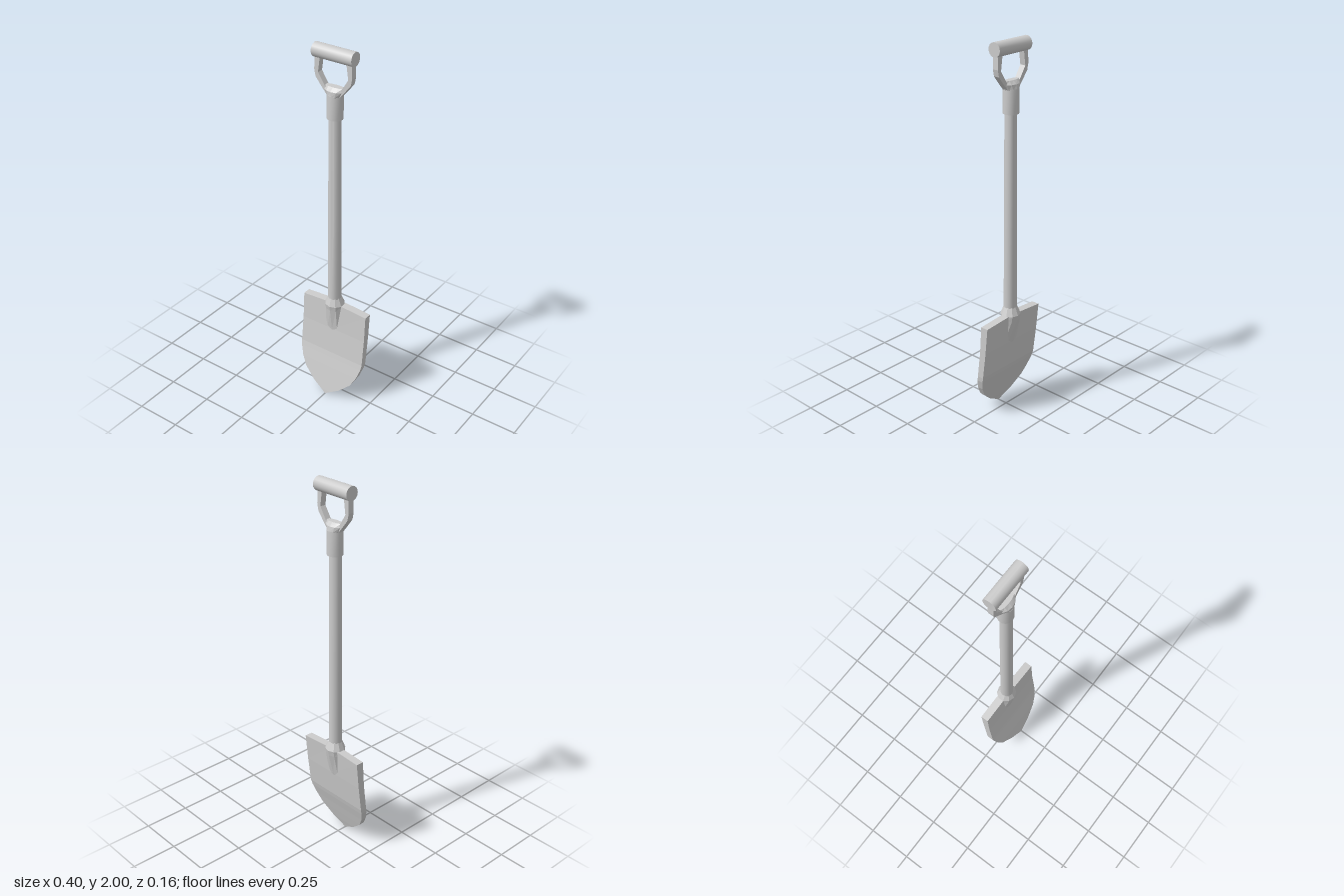
import * as THREE from 'three';
import { toCreasedNormals } from 'three/addons/utils/BufferGeometryUtils.js';

const CX = -0.007, CZ = -0.024; // axis of the handle
const grey = new THREE.MeshStandardMaterial({ color: 0xcccccc });
const flatGrey = new THREE.MeshStandardMaterial({ color: 0xcccccc, flatShading: true });

function addPart(group, name, geometry, material = grey) {
  const mesh = new THREE.Mesh(geometry, material);
  mesh.name = name;
  group.add(mesh);
  return mesh;
}

// Elliptical loft through rings listed top to bottom: [y, radiusX, radiusZ, centreZ]
function loft(rings, sides) {
  const rows = rings.length - 1;
  const g = new THREE.CylinderGeometry(1, 1, 1, sides, rows);
  const p = g.attributes.position;
  for (let i = 0; i < p.count; i++) {
    const [y, rx, rz, cz = CZ] = rings[Math.round((0.5 - p.getY(i)) * rows)];
    p.setXYZ(i, CX + p.getX(i) * rx, y, cz + p.getZ(i) * rz);
  }
  return toCreasedNormals(g, 0.6);
}

// Blade: a box bent and narrowed row by row, [y, halfWidth, frontZ, backZ]
function bladeGeometry() {
  const rows = [
    [0.55, 0.2, -0.01, -0.053],
    [0.4, 0.2, 0.0, -0.038],
    [0.25, 0.2, 0.018, -0.019],
    [0.22, 0.196, 0.025, -0.011],
    [0.165, 0.178, 0.039, 0.006],
    [0.11, 0.148, 0.052, 0.022],
    [0.05, 0.083, 0.066, 0.04],
    [0.02, 0.033, 0.073, 0.05],
    [0.0, 0.003, 0.077, 0.056],
  ];
  const n = rows.length - 1;
  const g = new THREE.BoxGeometry(1, 1, 1, 2, n, 1);
  const p = g.attributes.position;
  for (let i = 0; i < p.count; i++) {
    const row = Math.round((0.5 - p.getY(i)) * n);
    const [y, w, front, back] = rows[row];
    const x = p.getX(i) * 2;
    // the top edge rises slightly to the middle
    const peak = row === 0 ? 0.014 * (1 - Math.abs(x)) : 0;
    p.setXYZ(i, x * w, y + peak, p.getZ(i) > 0 ? front : back);
  }
  return g;
}

// Yoke: an open D outline with a hole, mirrored about the handle axis
function yokeGeometry() {
  const ring = (half) => [
    ...half.map(([x, y]) => new THREE.Vector2(x, y)),
    ...half.slice().reverse().map(([x, y]) => new THREE.Vector2(-x, y)),
  ];
  const shape = new THREE.Shape(ring([
    [0.038, 1.76], [0.068, 1.795], [0.1, 1.835], [0.108, 1.87], [0.104, 1.955],
  ]));
  shape.holes.push(new THREE.Path(ring([
    [0.045, 1.797], [0.086, 1.86], [0.074, 1.945],
  ])));
  const g = new THREE.ExtrudeGeometry(shape, { depth: 0.032, bevelEnabled: false });
  return g.translate(CX, 0, CZ - 0.016);
}

export function createModel() {
  const shovel = new THREE.Group();
  shovel.name = 'shovel';

  addPart(shovel, 'blade', bladeGeometry(), flatGrey);

  // Socket swells below the shaft, then flattens into the blade
  addPart(shovel, 'socket', loft([
    [0.605, 0.035, 0.034],
    [0.56, 0.055, 0.052, -0.026],
    [0.53, 0.054, 0.046, -0.026],
    [0.4, 0.053, 0.021, -0.019],
    [0.36, 0.03, 0.012, -0.014],
  ], 10), flatGrey);

  addPart(shovel, 'shaft', loft([
    [1.66, 0.031, 0.031], [1.1, 0.034, 0.033], [0.59, 0.036, 0.035],
  ], 14));

  addPart(shovel, 'ferrule', loft([
    [1.765, 0.041, 0.04, -0.026], [1.64, 0.041, 0.04, -0.026],
  ], 14));

  // Collar spreading from the ferrule into the yoke
  addPart(shovel, 'collar', loft([
    [1.805, 0.056, 0.018], [1.787, 0.056, 0.036], [1.76, 0.041, 0.04, -0.026],
  ], 12), flatGrey);

  addPart(shovel, 'yoke', yokeGeometry(), flatGrey);

  const grip = addPart(shovel, 'grip',
    toCreasedNormals(new THREE.CylinderGeometry(0.036, 0.036, 0.228, 18), 0.6));
  grip.rotation.z = Math.PI / 2;
  grip.position.set(CX + 0.001, 1.964, CZ);

  return shovel;
}
